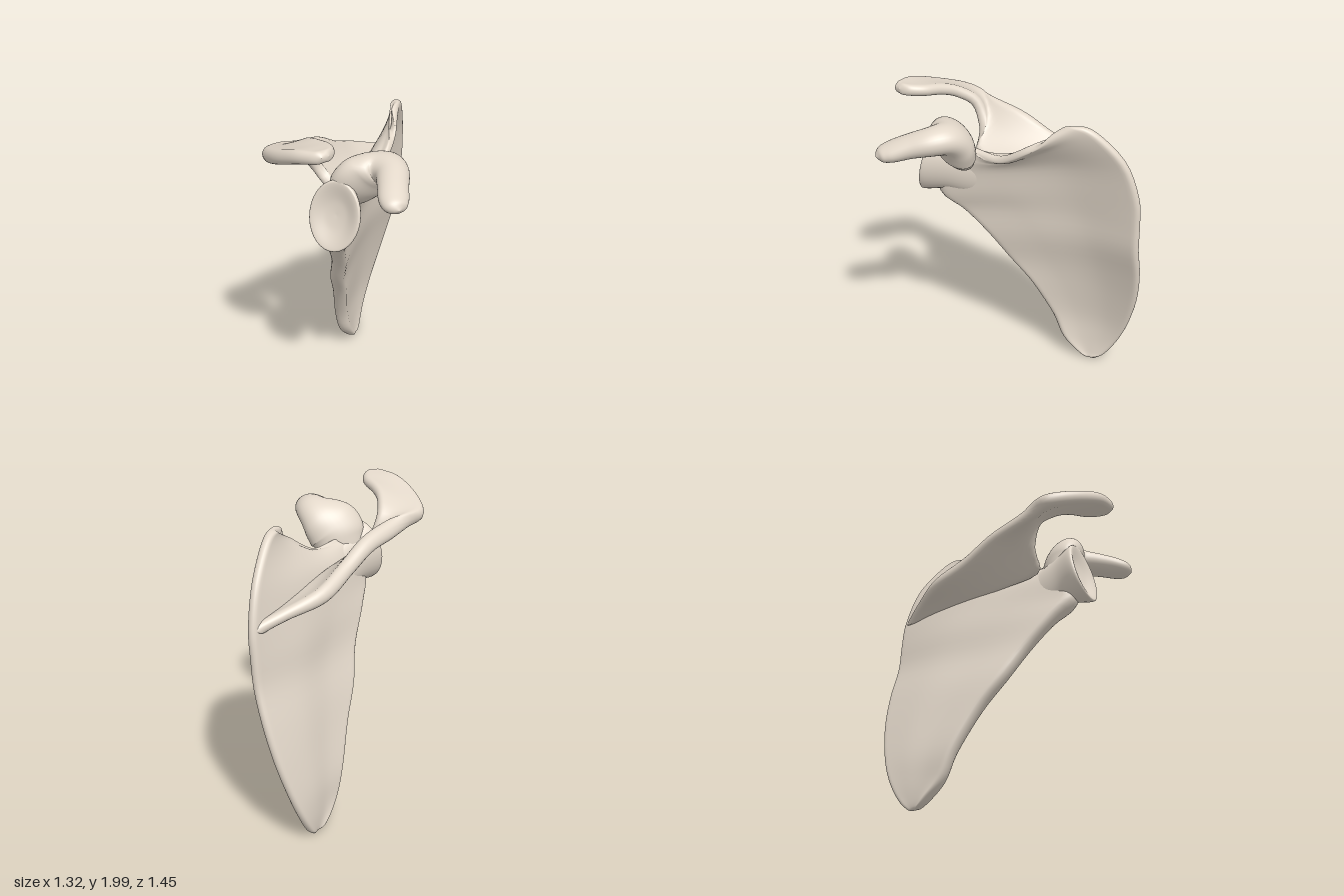
import * as THREE from 'three';
import { mergeVertices } from 'three/addons/utils/BufferGeometryUtils.js';

const bone = new THREE.MeshStandardMaterial({ color: 0xe3d8ca, roughness: 0.8 });
const V = (a) => new THREE.Vector3(a[0], a[1], a[2]);

// Catmull-Rom interpolation of equally long number rows, s in 0..1
function sample(rows, s) {
  const n = rows.length - 1;
  const f = Math.min(Math.max(s, 0), 1) * n;
  const i = Math.min(Math.floor(f), n - 1), t = f - i;
  const at = (k) => rows[Math.min(Math.max(k, 0), n)];
  const [a, b, c, d] = [at(i - 1), at(i), at(i + 1), at(i + 2)];
  return b.map((_, k) => b[k] + 0.5 * t * (c[k] - a[k]
    + t * (2 * a[k] - 5 * b[k] + 4 * c[k] - d[k] + t * (3 * (b[k] - c[k]) + d[k] - a[k]))));
}

function build(name, positions, index) {
  let g = new THREE.BufferGeometry();
  g.setAttribute('position', new THREE.Float32BufferAttribute(positions, 3));
  g.setIndex(index);
  g = mergeVertices(g, 1e-5);
  g.computeVertexNormals();
  const mesh = new THREE.Mesh(g, bone);
  mesh.name = name;
  return mesh;
}

// Closed plate with rounded rims around a sheet; rows hold points [x, y, z, halfThickness]
function plate(name, rows, nu, nv) {
  const surf = (u, v) => sample(rows.map((r) => sample(r, u)), v);
  const ease = (k, n) => (1 - Math.cos(Math.PI * k / n)) / 2;
  const round = (e, t) => Math.sqrt(1 - (1 - Math.min(e / t, 1)) ** 2);
  const pos = [[], []], index = [];
  const count = (nu + 1) * (nv + 1);
  for (let j = 0; j <= nv; j++) {
    const v = ease(j, nv);
    for (let i = 0; i <= nu; i++) {
      const u = ease(i, nu), h = 0.01;
      const s = surf(u, v), p = V(s), t = Math.max(s[3], 0.01);
      const du = V(surf(u + h, v)).sub(V(surf(u - h, v)));
      const dv = V(surf(u, v + h)).sub(V(surf(u, v - h)));
      const n = du.cross(dv).normalize();
      const gap = (a, b) => p.distanceTo(V(surf(a, b)));
      const eu = Math.min(gap(0, v), gap(1, v)), ev = Math.min(gap(u, 0), gap(u, 1));
      n.multiplyScalar(t * round(eu, t) * round(ev, t));
      pos[0].push(p.x + n.x, p.y + n.y, p.z + n.z);
      pos[1].push(p.x - n.x, p.y - n.y, p.z - n.z);
      if (i < nu && j < nv) {
        const a = j * (nu + 1) + i, b = a + 1, c = a + nu + 1, d = c + 1, k = count;
        index.push(a, b, c, b, d, c, a + k, c + k, b + k, b + k, c + k, d + k);
      }
    }
  }
  return build(name, pos[0].concat(pos[1]), index);
}

// Elliptical tube; rows hold [x, y, z, radiusAlongSide, otherRadius]; axis fixes the ring plane
function tube(name, rows, side, axis) {
  const n = (rows.length - 1) * 6, m = 32, pos = [], index = [];
  for (let i = 0; i <= n; i++) {
    const s = sample(rows, i / n), p = V(s);
    const t = axis ? V(axis).normalize()
      : V(sample(rows, i / n + 0.02)).sub(V(sample(rows, i / n - 0.02))).normalize();
    const v = t.clone().cross(V(side)).normalize(), u = v.clone().cross(t);
    for (let j = 0; j <= m; j++) {
      const a = j / m * Math.PI * 2;
      const q = p.clone().addScaledVector(u, Math.max(s[3], 0) * Math.cos(a))
        .addScaledVector(v, Math.max(s[4], 0) * Math.sin(a));
      pos.push(q.x, q.y, q.z);
      if (i < n && j < m) {
        const k = i * (m + 1) + j, l = k + m + 1;
        index.push(k, k + 1, l, k + 1, l + 1, l);
      }
    }
  }
  return build(name, pos, index);
}

// Blade row from lateral to medial border, hollowed backwards by bow and lowered by sag
function bladeRow([l, m, bow, sag = 0, tl = 0.055, tm = 0.025]) {
  const mid = (f, b, s, t) => [
    l[0] + (m[0] - l[0]) * f - b * 0.6,
    l[1] + (m[1] - l[1]) * f - s,
    l[2] + (m[2] - l[2]) * f - b * 0.8, t];
  return [[...l, tl], mid(0.33, bow * 0.6, sag, tm), mid(0.66, bow, sag * 0.6, 0.022), [...m, 0.03]];
}

export function createModel() {
  const group = new THREE.Group();
  group.name = 'shoulderBlade';

  // Broad triangular blade, from the lower tip up to the upper border
  const blade = [
    [[0.25, 0.01, -0.56], [0.30, 0.01, -0.585], 0, 0, 0.04],
    [[0.19, 0.06, -0.52], [0.345, 0.06, -0.64], 0],
    [[0.11, 0.17, -0.45], [0.41, 0.19, -0.69], 0.01],
    [[0.05, 0.35, -0.40], [0.48, 0.36, -0.71], 0.02],
    [[-0.03, 0.60, -0.28], [0.56, 0.60, -0.70], 0.03],
    [[-0.12, 0.79, -0.16], [0.615, 0.84, -0.66], 0.04],
    [[-0.18, 0.99, -0.03], [0.645, 1.06, -0.605], 0.05],
    [[-0.28, 1.18, 0.11], [0.655, 1.25, -0.59], 0.06, 0, 0.06, 0.03],
    [[-0.345, 1.31, 0.23], [0.655, 1.43, -0.57], 0.06, 0, 0.075, 0.04],
    [[-0.30, 1.47, 0.22], [0.605, 1.66, -0.50], 0.04, 0.02, 0.075, 0.04],
    [[-0.22, 1.57, 0.17], [0.50, 1.84, -0.37], -0.01, 0.07, 0.06, 0.035],
    [[-0.15, 1.63, 0.14], [0.42, 1.89, -0.29], -0.05, 0.11, 0.03],
    [[-0.15, 1.65, 0.14], [0.35, 1.85, -0.23], -0.08, 0.10, 0.03],
  ];
  group.add(plate('blade', blade.map(bladeRow), 32, 64));

  // Spine ridge: inner edge rooted on the blade, outer edge the crest, turning into the hooked roof
  const ridge = [
    [[0.60, 1.41, -0.55], [0.635, 1.42, -0.58], 0.03],
    [[0.42, 1.45, -0.44], [0.44, 1.48, -0.57], 0.035],
    [[0.20, 1.49, -0.26], [0.20, 1.55, -0.54], 0.055],
    [[0.0, 1.51, -0.10], [0.0, 1.65, -0.41], 0.055],
    [[-0.21, 1.54, 0.03], [-0.17, 1.75, -0.31], 0.06],
    [[-0.28, 1.67, -0.04], [-0.36, 1.79, -0.22], 0.075],
    [[-0.335, 1.82, -0.04], [-0.51, 1.795, -0.16], 0.07],
    [[-0.38, 1.90, 0.06], [-0.625, 1.81, -0.10], 0.055],
    [[-0.39, 1.935, 0.16], [-0.66, 1.87, 0.09], 0.05],
    [[-0.385, 1.95, 0.28], [-0.635, 1.93, 0.26], 0.045],
    [[-0.42, 1.96, 0.37], [-0.58, 1.95, 0.37], 0.04],
    [[-0.48, 1.965, 0.415], [-0.53, 1.965, 0.42], 0.035],
  ];
  group.add(plate('spineAndRoof', ridge.map(([a, b, t]) => {
    const m = a.map((x, k) => (x + b[k]) / 2);
    return [[...a, 0.035], [...m, 0.035], [...b, t]];
  }), 24, 64));

  // Neck widening to the shallow, pear-shaped joint socket
  group.add(tube('neckAndSocket', [
    [-0.06, 1.41, 0.0, 0.0, 0.0],
    [-0.11, 1.43, 0.04, 0.12, 0.035],
    [-0.18, 1.455, 0.11, 0.155, 0.07],
    [-0.26, 1.485, 0.18, 0.175, 0.105],
    [-0.345, 1.505, 0.25, 0.21, 0.155],
    [-0.37, 1.51, 0.27, 0.212, 0.158],
    [-0.372, 1.51, 0.27, 0.185, 0.135],
    [-0.35, 1.505, 0.255, 0.09, 0.07],
    [-0.343, 1.505, 0.25, 0.0, 0.0],
  ], [0.25, 0.95, -0.1], [-0.8, 0.22, 0.55]));

  // Beak-like hook rising from the neck and bending forward
  group.add(tube('forwardHook', [
    [-0.21, 1.49, 0.12, 0.0, 0.0],
    [-0.21, 1.53, 0.14, 0.09, 0.05],
    [-0.19, 1.60, 0.18, 0.155, 0.09],
    [-0.165, 1.67, 0.22, 0.185, 0.11],
    [-0.11, 1.735, 0.27, 0.165, 0.11],
    [-0.07, 1.775, 0.34, 0.12, 0.093],
    [-0.08, 1.775, 0.43, 0.10, 0.083],
    [-0.14, 1.75, 0.53, 0.09, 0.07],
    [-0.20, 1.715, 0.63, 0.085, 0.058],
    [-0.218, 1.70, 0.69, 0.06, 0.04],
    [-0.222, 1.695, 0.72, 0.0, 0.0],
  ], [1, 0, 0.2]));

  return group;
}
